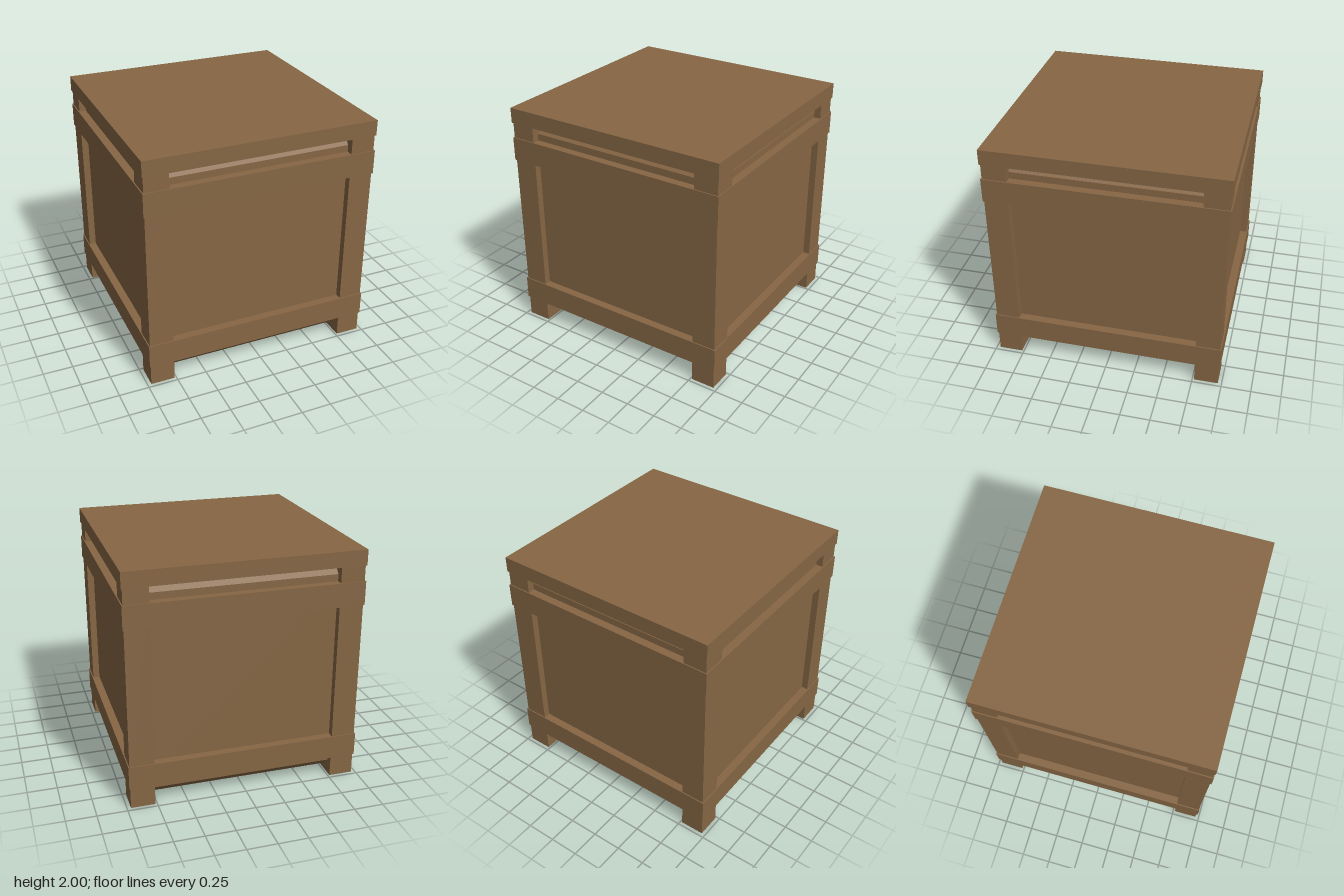
import * as THREE from 'three';
import { ConvexGeometry } from 'three/addons/geometries/ConvexGeometry.js';

export function createModel() {
  const model = new THREE.Group();
  model.name = 'crate';
  const wood = new THREE.MeshStandardMaterial({ color: 0x876745 });
  wood.name = 'brown wood';

  function add(name, geometry, x, y, z) {
    const mesh = new THREE.Mesh(geometry, wood);
    mesh.name = name;
    mesh.position.set(x, y, z);
    model.add(mesh);
    return mesh;
  }

  // Core: a box with every edge chamfered
  const half = 0.91, low = 0.05, high = 1.868, bevel = 0.07;
  const h = (high - low) / 2;
  const corners = [];
  for (const sx of [-1, 1]) for (const sy of [-1, 1]) for (const sz of [-1, 1]) {
    const i = half - bevel, j = h - bevel;
    corners.push(
      new THREE.Vector3(sx * half, sy * j, sz * i),
      new THREE.Vector3(sx * i, sy * h, sz * i),
      new THREE.Vector3(sx * i, sy * j, sz * half)
    );
  }
  add('chamferedBody', new ConvexGeometry(corners), 0, low + h, 0);

  // Corner posts, which also form the feet
  const postOuter = 0.968, postWidth = 0.202, postHeight = 1.87;
  const postAt = postOuter - postWidth / 2;
  for (const sx of [-1, 1]) for (const sz of [-1, 1]) {
    add('cornerPost', new THREE.BoxGeometry(postWidth, postHeight, postWidth),
      sx * postAt, postHeight / 2, sz * postAt);
  }

  // Two bands of rails around the crate
  const outer = 0.977, thick = 0.1, railHeight = 0.2;
  for (const [band, y] of [['lower', 0.278], ['upper', 1.64]]) {
    for (const s of [-1, 1]) {
      add(band + 'RailFrontBack', new THREE.BoxGeometry(outer * 2, railHeight, thick),
        0, y, s * (outer - thick / 2));
      add(band + 'RailSide', new THREE.BoxGeometry(thick, railHeight, (outer - thick) * 2),
        s * (outer - thick / 2), y, 0);
    }
  }

  // Flat lid
  add('lid', new THREE.BoxGeometry(outer * 2, 0.13, outer * 2), 0, 1.935, 0);

  return model;
}
